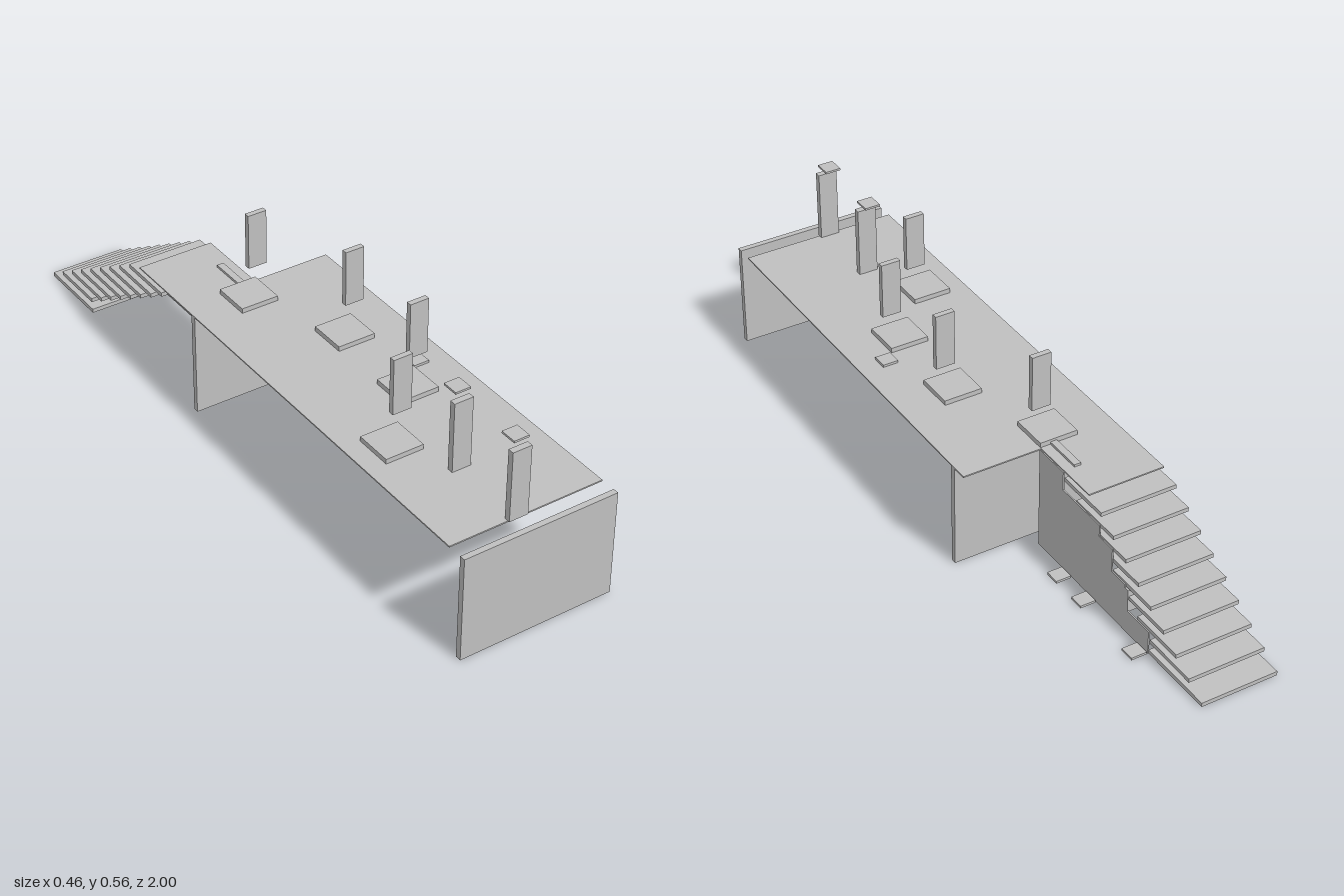
import * as THREE from 'three';

export function createModel() {
  const group = new THREE.Group();
  const grey = new THREE.MeshStandardMaterial({ color: 0xc0c0c0 });
  grey.name = 'plain grey';

  const add = (name, geometry) => {
    const mesh = new THREE.Mesh(geometry, grey);
    mesh.name = name;
    group.add(mesh);
    return mesh;
  };
  // Box given by its limits on each axis
  const box = (name, x0, x1, y0, y1, z0, z1) =>
    add(name, new THREE.BoxGeometry(x1 - x0, y1 - y0, z1 - z0))
      .position.set((x0 + x1) / 2, (y0 + y1) / 2, (z0 + z1) / 2);
  const extrude = (points, depth) => new THREE.ExtrudeGeometry(
    new THREE.Shape(points.map(([a, b]) => new THREE.Vector2(a, b))),
    { depth, bevelEnabled: false });

  const TOP = 0.31;

  // L-shaped deck, drawn as (x, -z) and laid flat
  const deck = extrude([[-0.229, -0.94], [0.228, -0.94], [0.228, 0.26],
    [-0.003, 0.26], [-0.003, 0.485], [-0.229, 0.485]], 0.004);
  deck.rotateX(-Math.PI / 2);
  deck.translate(0, TOP - 0.004, 0);
  add('deck', deck);

  // Upright panels under the deck
  box('frontPanel', -0.229, 0.228, 0, TOP, 0.983, 1);
  box('backPanel', -0.229, 0.228, 0, TOP - 0.004, -0.215, -0.199);

  // Stepped wall beside the stairs, drawn as (-z, y)
  const wall = extrude([[0.257, 0], [0.77, 0], [0.77, 0.07], [0.66, 0.07], [0.66, 0.145],
    [0.6, 0.145], [0.6, 0.215], [0.54, 0.215], [0.54, 0.25], [0.37, 0.25],
    [0.37, TOP - 0.004], [0.257, TOP - 0.004]], 0.004);
  wall.rotateY(Math.PI / 2);
  wall.translate(-0.004, 0, 0);
  add('stairWall', wall);
  box('wallBlock', -0.03, 0, 0.067, 0.135, -0.675, -0.656);

  // Floating treads
  for (let i = 0; i < 9; i++) {
    const z = -1 + i * 0.0573, y = i * 0.0347;
    box('stairTread', -0.229, -0.003, y, y + 0.012, z, z + (i === 0 ? 0.23 : 0.17));
  }

  // Tall posts raised above the deck: left edge, centre z
  for (const [x, z] of [[-0.115, 0.537], [0.057, 0.364], [0.057, 0.079], [-0.058, -0.207]])
    box('raisedPost', x, x + 0.056, 0.4, 0.563, z - 0.008, z + 0.008);

  // Standing posts, each with a thin cap hovering above
  for (const z of [0.937, 0.708]) {
    box('standingPost', -0.058, -0.002, TOP, 0.515, z - 0.009, z + 0.009);
    box('postCap', -0.052, -0.007, 0.537, 0.543, z - 0.045, z + 0.003);
  }

  // Square plates on the deck
  for (const [x, z] of [[-0.172, 0.545], [0, 0.37], [0, 0.086], [-0.115, -0.2]])
    box('deckPlate', x, x + 0.112, TOP, 0.324, z - 0.056, z + 0.056);
  box('smallPlate', 0.12, 0.165, TOP, 0.317, 0.265, 0.31);
  box('deckStrip', -0.053, -0.033, TOP, 0.317, -0.37, -0.25);

  // Small pads at ground level beside the wall
  for (const z of [-0.4, -0.515, -0.748])
    box('groundPad', 0.003, 0.048, 0, 0.007, z - 0.022, z + 0.022);

  return group;
}
